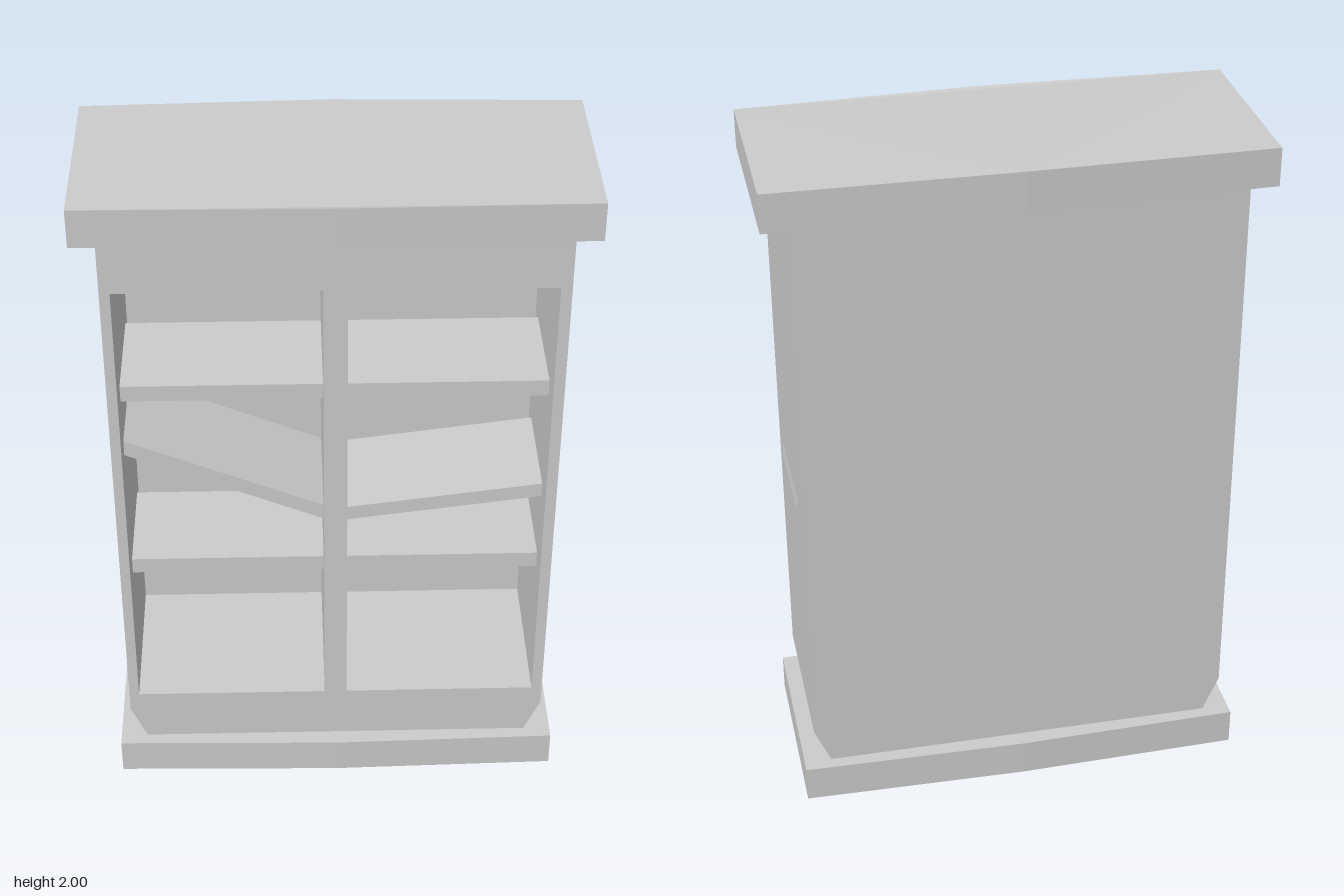
import * as THREE from 'three';

const material = new THREE.MeshStandardMaterial({ color: 0xcccccc, flatShading: true });

function addMesh(group, name, geometry) {
  const mesh = new THREE.Mesh(geometry, material);
  mesh.name = name;
  group.add(mesh);
  return mesh;
}

const polygon = (points) => points.map(([x, y]) => new THREE.Vector2(x, y));

function extrude(shape, z0, z1) {
  return new THREE.ExtrudeGeometry(shape, { depth: z1 - z0, bevelEnabled: false }).translate(0, 0, z0);
}

// Slab whose front and back edges bow out to a shallow point in the middle
function bowedSlab(halfWidth, endDepth, midDepth, y0, y1) {
  const shape = new THREE.Shape(polygon([
    [-halfWidth, -endDepth], [0, -midDepth], [halfWidth, -endDepth],
    [halfWidth, endDepth], [0, midDepth], [-halfWidth, endDepth],
  ]));
  return extrude(shape, y0, y1).rotateX(-Math.PI / 2);
}

// Body outline with the lower corners cut in
function bodyShape() {
  return new THREE.Shape(polygon([
    [-0.58, 0.11], [0.58, 0.11], [0.627, 0.22],
    [0.627, 1.886], [-0.627, 1.886], [-0.627, 0.22],
  ]));
}

export function createModel() {
  const group = new THREE.Group();
  group.name = 'bookcase';

  // Plinth and crown
  addMesh(group, 'base', bowedSlab(0.66, 0.283, 0.297, 0, 0.11));
  const crown = bowedSlab(0.695, 0.282, 0.297, 1.885, 2);
  const pos = crown.attributes.position;
  for (let i = 0; i < pos.count; i++) {
    // Ends of the top sit slightly lower than the middle
    if (pos.getY(i) > 1.95 && Math.abs(pos.getX(i)) > 0.1) pos.setY(i, 1.996);
  }
  addMesh(group, 'crown', crown);

  // Carcass with two tall compartments, closed by a back panel
  const frame = bodyShape();
  for (const [x0, x1] of [[-0.598, -0.034], [0.032, 0.596]]) {
    frame.holes.push(new THREE.Path(polygon([[x0, 0.28], [x0, 1.72], [x1, 1.72], [x1, 0.28]])));
  }
  addMesh(group, 'carcass', extrude(frame, -0.215, 0.247));
  addMesh(group, 'backPanel', extrude(bodyShape(), -0.247, -0.215));

  // Level shelves
  for (const x of [-0.316, 0.314]) {
    for (const y of [0.715, 1.335]) {
      addMesh(group, 'shelf', new THREE.BoxGeometry(0.59, 0.05, 0.32)).position.set(x, y, 0);
    }
  }

  // Slipped shelves: the lower outer edge just pokes through the side wall
  const thickness = 0.045;
  const slipped = [
    { side: -1, length: 0.66, y: 1.139, angle: -0.402 },
    { side: 1, length: 0.62, y: 0.959, angle: 0.132 },
  ];
  for (const { side, length, y, angle } of slipped) {
    const geometry = new THREE.BoxGeometry(length, thickness, 0.325);
    geometry.translate(-side * length / 2, thickness / 2, 0);
    const shelf = addMesh(group, 'slippedShelf', geometry);
    shelf.position.set(side * 0.631, y, 0);
    shelf.rotation.z = angle;
  }

  return group;
}
